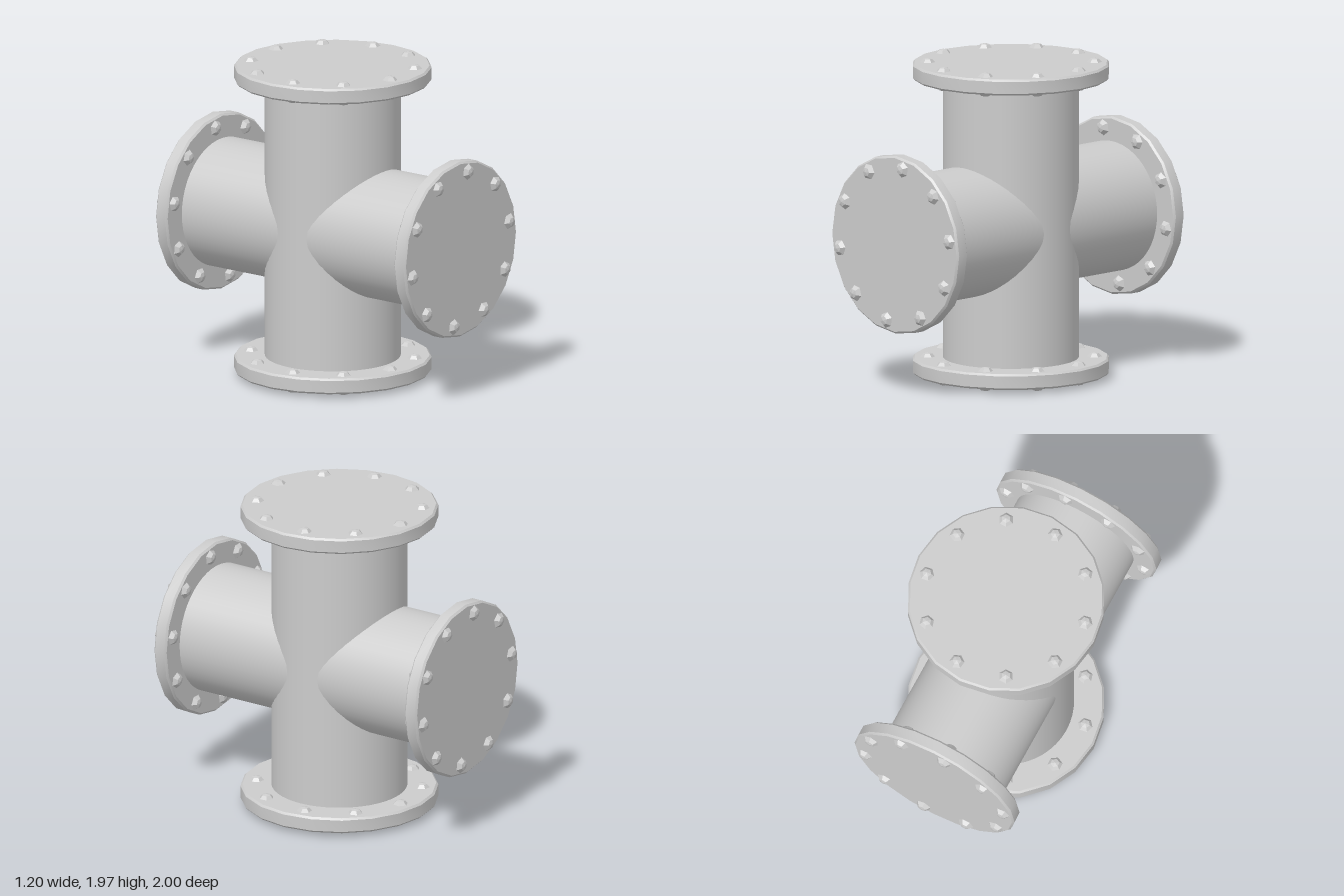
import * as THREE from 'three';
import { toCreasedNormals } from 'three/addons/utils/BufferGeometryUtils.js';

const smooth = new THREE.MeshStandardMaterial({ color: 0xcccccc });
const faceted = new THREE.MeshStandardMaterial({ color: 0xcccccc, flatShading: true });

function lathe(profile, sides) {
  return new THREE.LatheGeometry(profile.map(([r, y]) => new THREE.Vector2(r, y)), sides);
}

function part(name, geometry, material) {
  const mesh = new THREE.Mesh(geometry, material);
  mesh.name = name;
  return mesh;
}

// Through bolt: six-sided with a low pointed dome on each end
const boltGeometry = lathe([
  [0, -0.075], [0.028, -0.069], [0.05, -0.045],
  [0.05, 0.045], [0.028, 0.069], [0, 0.075],
], 6);

// Blind flange: 20-sided bevelled disc carrying a ring of ten bolts, axis along y
function makeFlange(name, radius, thickness, boltCircle) {
  const group = new THREE.Group();
  group.name = name;
  const h = thickness / 2, b = 0.012;
  const disc = lathe([
    [0, -h], [radius - b, -h], [radius, -h + b],
    [radius, h - b], [radius - b, h], [0, h],
  ], 20);
  group.add(part('flangeDisc', toCreasedNormals(disc, Math.PI / 6), smooth));
  for (let i = 0; i < 10; i++) {
    const a = THREE.MathUtils.degToRad(8.3 + i * 36);
    const bolt = part('bolt', boltGeometry, faceted);
    bolt.position.set(Math.sin(a) * boltCircle, 0, -Math.cos(a) * boltCircle);
    bolt.rotation.y = -a;
    group.add(bolt);
  }
  return group;
}

export function createModel() {
  const model = new THREE.Group();
  model.name = 'crossPipeFitting';
  const axisZ = -0.025, axisY = 0.946;
  const bottomY = 0.076, topY = 1.898, endZ = 0.925;

  // Upright pipe
  const upright = part('verticalPipe',
    new THREE.CylinderGeometry(0.414, 0.414, topY - bottomY, 48, 1, true), smooth);
  upright.position.set(0, (topY + bottomY) / 2, axisZ);
  model.add(upright);

  // Crossing pipe, front to back
  const cross = part('crossPipe',
    new THREE.CylinderGeometry(0.399, 0.399, endZ * 2, 48, 1, true), smooth);
  cross.rotation.x = Math.PI / 2;
  cross.position.y = axisY;
  model.add(cross);

  // Flanges on the upright pipe
  for (const [name, y] of [['bottomFlange', bottomY], ['topFlange', topY]]) {
    const flange = makeFlange(name, 0.602, 0.098, 0.507);
    flange.position.set(0, y, axisZ);
    model.add(flange);
  }

  // Flanges on the crossing pipe
  for (const [name, side] of [['frontFlange', 1], ['backFlange', -1]]) {
    const flange = makeFlange(name, 0.55, 0.09, 0.479);
    flange.rotation.x = side * Math.PI / 2;
    flange.position.set(0, axisY, side * endZ);
    model.add(flange);
  }
  return model;
}
